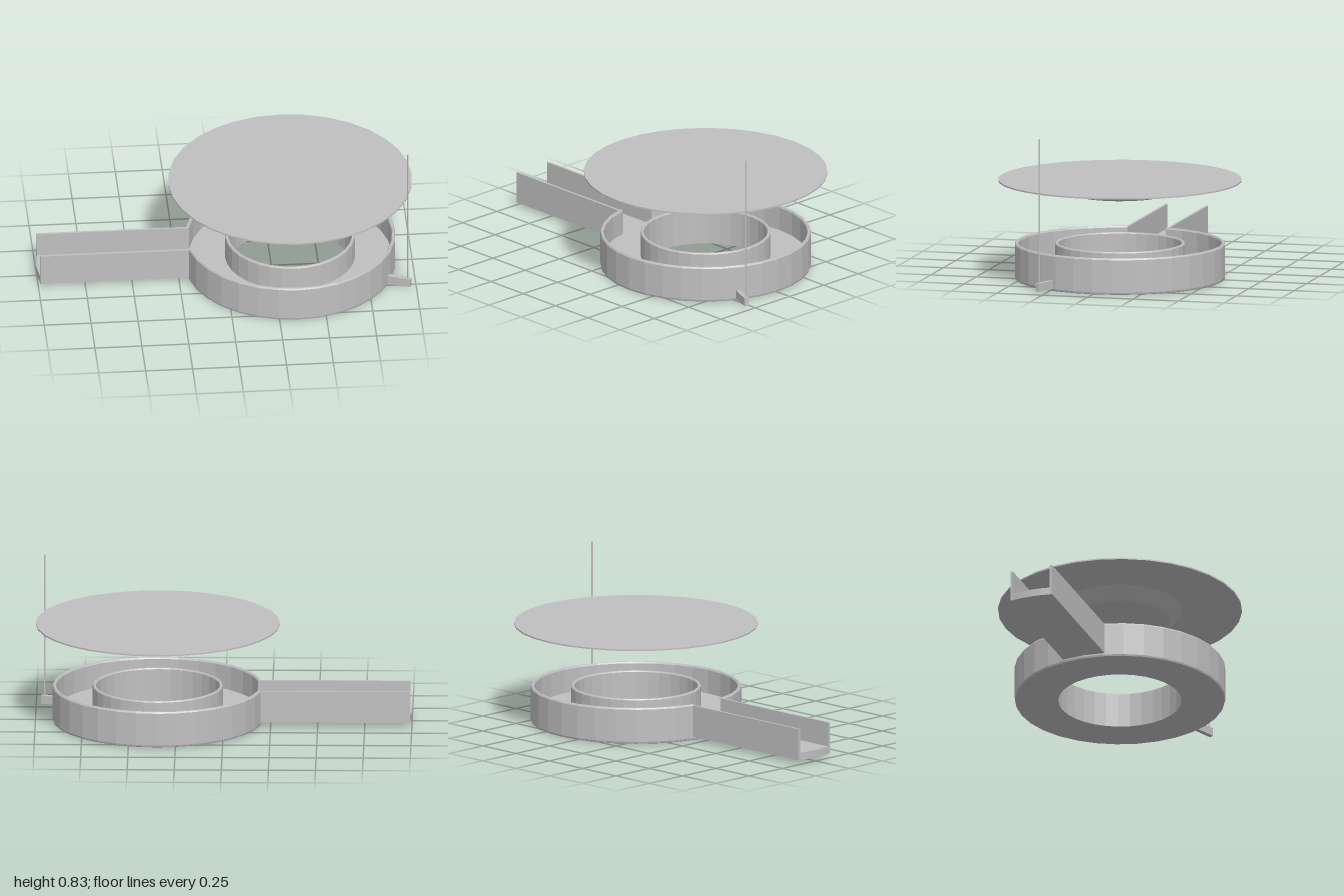
import * as THREE from 'three';

export function createModel() {
  const model = new THREE.Group();
  const grey = new THREE.MeshStandardMaterial({ color: 0xc0c0c0, flatShading: true });
  grey.name = 'plain grey';
  const SIDES = 32;
  const CX = 0.35; // axis of the round parts

  function add(name, geometry, x = 0, y = 0, z = 0) {
    const mesh = new THREE.Mesh(geometry, grey);
    mesh.name = name;
    mesh.position.set(x, y, z);
    model.add(mesh);
    return mesh;
  }
  function lathe(points, sides = SIDES, start = 0, length = Math.PI * 2) {
    return new THREE.LatheGeometry(points.map(p => new THREE.Vector2(...p)), sides, start, length);
  }

  // Annular tray floor with softened lower edge
  add('trayFloor', lathe([
    [0.328, 0], [0.55, 0], [0.557, 0.003], [0.56, 0.012], [0.56, 0.06], [0.328, 0.06], [0.328, 0],
  ]), CX);

  // Outer wall, one facet left open where the channel joins
  const step = (Math.PI * 2) / SIDES;
  add('outerWall', lathe([
    [0.56, 0.06], [0.56, 0.187], [0.555, 0.195], [0.545, 0.195], [0.54, 0.187], [0.54, 0.06],
  ], SIDES - 2, Math.PI * 1.5 + step, Math.PI * 2 - 2 * step), CX);

  // Inner wall around the central opening
  add('innerWall', lathe([
    [0.346, 0.06], [0.346, 0.189], [0.342, 0.195], [0.332, 0.195], [0.328, 0.189], [0.328, 0.06],
  ]), CX);

  // Channel floor with bowed open end
  const floor = new THREE.Shape();
  floor.moveTo(-0.18, -0.112);
  floor.lineTo(-0.18, 0.112);
  floor.lineTo(-0.988, 0.112);
  floor.quadraticCurveTo(-1.012, 0, -0.988, -0.112);
  const floorGeometry = new THREE.ExtrudeGeometry(floor, { depth: 0.04, bevelEnabled: false, curveSegments: 8 });
  floorGeometry.rotateX(Math.PI / 2);
  add('channelFloor', floorGeometry, 0, 0.06, 0);

  // Channel side walls
  for (const side of [-1, 1]) {
    add(side > 0 ? 'channelWallFront' : 'channelWallBack',
      new THREE.BoxGeometry(0.81, 0.17, 0.013), -0.585, 0.105, side * 0.1115);
  }

  // Raised disc with a shallow tapered underside
  add('coverDisc', lathe([
    [0, 0.455], [0.25, 0.455], [0.265, 0.459], [0.275, 0.467],
    [0.33, 0.527], [0.648, 0.527], [0.648, 0.535], [0, 0.535],
  ]), CX);

  // Bracket and thin upright rod
  const bracket = add('rodBracket', new THREE.BoxGeometry(0.13, 0.045, 0.024), 0.91, 0.035, 0.261);
  bracket.rotation.y = -Math.PI / 8;
  add('rod', new THREE.CylinderGeometry(0.004, 0.004, 0.79, 8), 0.955, 0.435, 0.278);

  return model;
}
